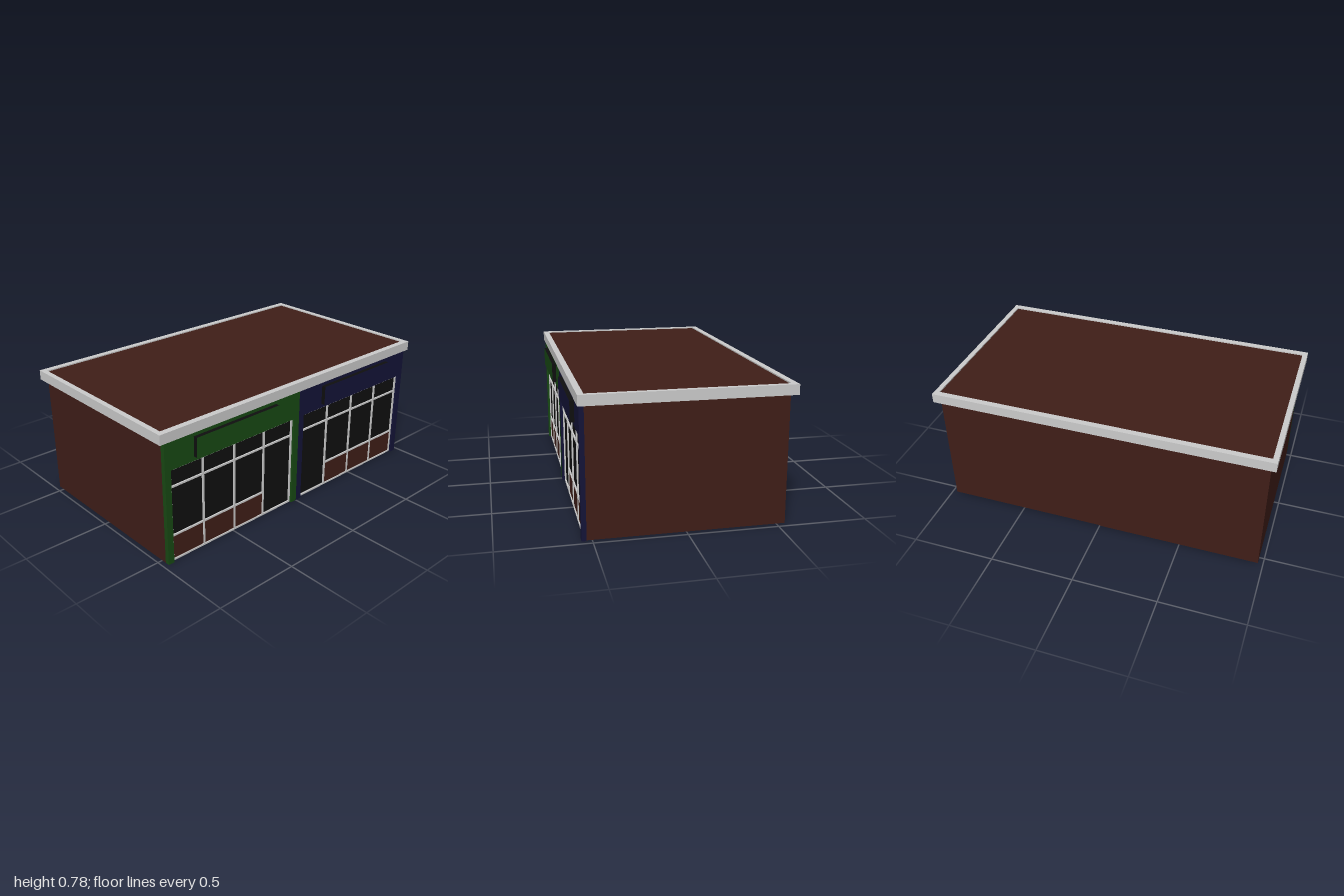
import * as THREE from 'three';

const mat = (color) => new THREE.MeshStandardMaterial({ color });
const brown = mat(0x401e18), grey = mat(0xcccccc), black = mat(0x0f0f0f);
const green = mat(0x184a14), blue = mat(0x141438);

// Box given by its minimum and maximum on each axis
function box(parent, name, material, [x0, x1], [y0, y1], [z0, z1]) {
  const geometry = new THREE.BoxGeometry(x1 - x0, y1 - y0, z1 - z0);
  const mesh = new THREE.Mesh(geometry, material);
  mesh.position.set((x0 + x1) / 2, (y0 + y1) / 2, (z0 + z1) / 2);
  mesh.name = name;
  parent.add(mesh);
  return mesh;
}

// One shop unit; s = 1 lies towards +z, s = -1 is its mirror image
function shopUnit(s, name, paint) {
  const unit = new THREE.Group();
  unit.name = name;
  const add = (part, m, x, y, [a, b]) =>
    box(unit, part, m, x, y, s > 0 ? [a, b] : [-b, -a]);

  // Brick body with flat roof
  add('brickBody', brown, [-0.545, 0.53], [s > 0 ? 0 : 0.004, 0.77], [0, 0.97]);

  // Painted surround: end pilasters and fascia
  const front = [0.53, 0.556];
  add('innerPilaster', paint, front, [0, 0.555], [0, 0.04]);
  add('outerPilaster', paint, front, [0, 0.555], [0.932, 0.97]);
  add('fascia', paint, front, [0.555, 0.72], [0, 0.97]);

  // Sign board: dark edges, painted face
  const sign = add('signBoard', black, [0.556, 0.58], [0.58, 0.695], [0.19, 0.78]);
  sign.material = [paint, black, black, black, black, black];

  // Glazing and brick stall riser
  add('glazing', black, [0.53, 0.534], [0.005, 0.555], [0.04, 0.932]);
  add('stallRiser', brown, [0.53, 0.537], [0.005, 0.155], [0.265, 0.932]);

  // Window frame: uprights and rails
  const frame = [0.53, 0.543], t = 0.005;
  for (const z of [0.045, 0.265, 0.487, 0.71, 0.927])
    add('frameUpright', grey, frame, [0, 0.555], [z - t, z + t]);
  for (const y of [0.005, 0.447, 0.55])
    add('frameRail', grey, frame, [y - t, y + t], [0.04, 0.932]);
  add('windowSill', grey, frame, [0.15, 0.16], [0.265, 0.932]);
  return unit;
}

function rectangle(Path, x0, x1, z) {
  const p = new Path();
  p.moveTo(x0, -z);
  p.lineTo(x1, -z);
  p.lineTo(x1, z);
  p.lineTo(x0, z);
  p.closePath();
  return p;
}

export function createModel() {
  const model = new THREE.Group();
  model.name = 'shopBuilding';
  model.add(shopUnit(1, 'greenShop', green), shopUnit(-1, 'blueShop', blue));

  // Floor slab under the second unit
  box(model, 'floorSlab', grey, [-0.53, 0.535], [0, 0.01], [-0.955, 0]);

  // Coping ring around the roof
  const ring = rectangle(THREE.Shape, -0.58, 0.565, 1);
  ring.holes.push(rectangle(THREE.Path, -0.545, 0.53, 0.97));
  const geometry = new THREE.ExtrudeGeometry(ring, { depth: 0.057, bevelEnabled: false });
  geometry.rotateX(-Math.PI / 2);
  const coping = new THREE.Mesh(geometry, grey);
  coping.position.y = 0.72;
  coping.name = 'roofCoping';
  model.add(coping);
  return model;
}
